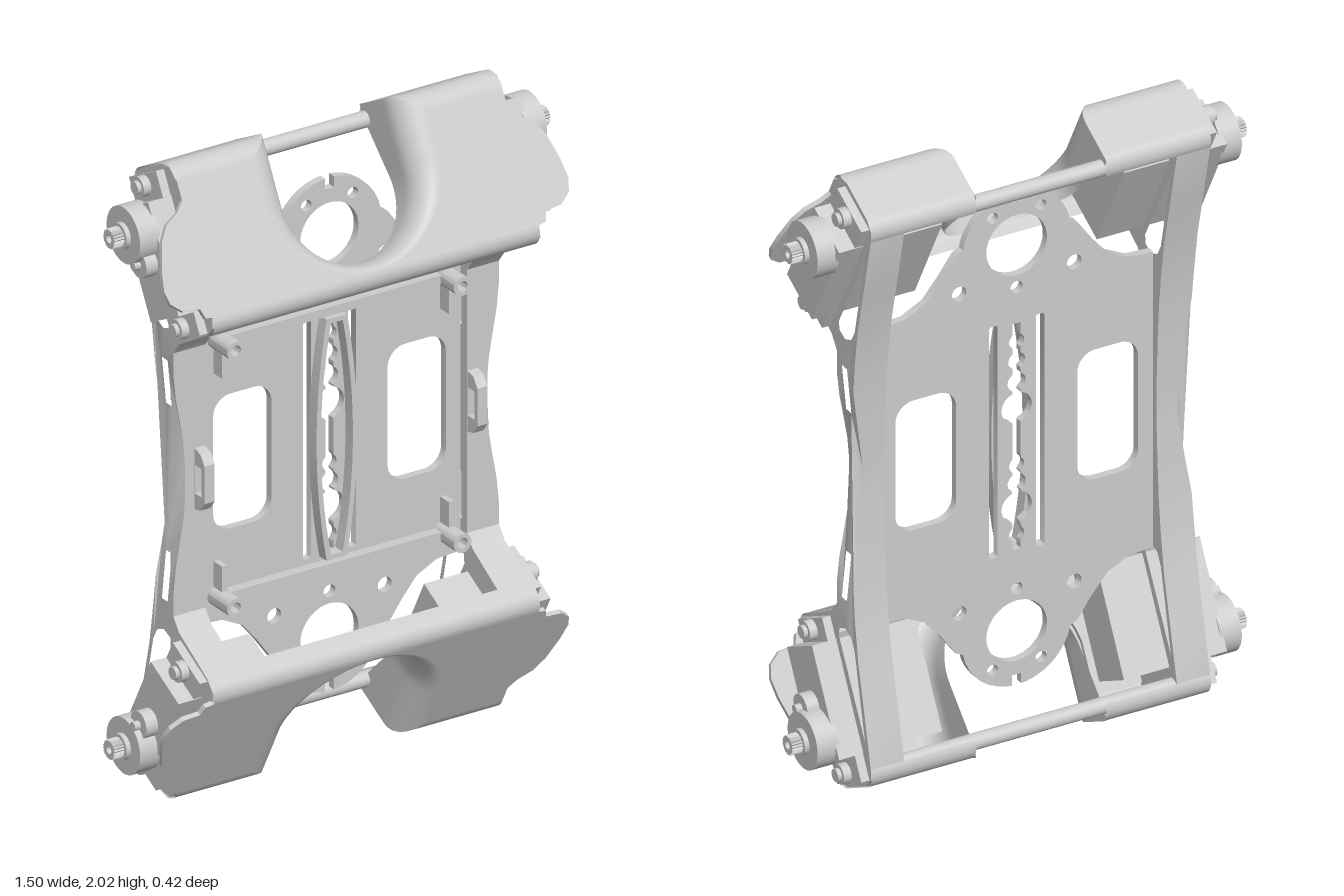
import * as THREE from 'three';
import { toCreasedNormals } from 'three/addons/utils/BufferGeometryUtils.js';

const mat = new THREE.MeshStandardMaterial({ color: 0xcccccc });
const sheetMat = new THREE.MeshStandardMaterial({ color: 0xcccccc, side: THREE.DoubleSide });
const V = (x, y) => new THREE.Vector2(x, y);
const TILT = THREE.MathUtils.degToRad(28), COS = Math.cos(TILT), SIN = Math.sin(TILT);
const POD = { y: 1.573, z: 0.233, len: 0.52, depth: 0.24, r: 0.06 };

function add(parent, name, geo, x = 0, y = 0, z = 0, material = mat) {
  const m = new THREE.Mesh(geo, material);
  m.name = name;
  m.position.set(x, y, z);
  parent.add(m);
  return m;
}
const extrude = (shape, depth, curveSegments = 20) =>
  toCreasedNormals(new THREE.ExtrudeGeometry(shape, { depth, bevelEnabled: false, curveSegments }), 0.6);
const cylX = (r, h, n = 32) => new THREE.CylinderGeometry(r, r, h, n).rotateZ(Math.PI / 2);
const circle = (x, y, r) => new THREE.Path().absarc(x, y, r, 0, Math.PI * 2, true);
function roundRect(x0, y0, x1, y1, r) {
  const p = new THREE.Path();
  p.absarc(x1 - r, y1 - r, r, 0, Math.PI / 2);
  p.absarc(x0 + r, y1 - r, r, Math.PI / 2, Math.PI);
  p.absarc(x0 + r, y0 + r, r, Math.PI, Math.PI * 1.5);
  p.absarc(x1 - r, y0 + r, r, Math.PI * 1.5, Math.PI * 2);
  p.closePath();
  return p;
}
// Open surface from a rule fn(u, v) -> [x, y, z]
function grid(fn, nu, nv) {
  const g = new THREE.PlaneGeometry(1, 1, nu, nv), p = g.attributes.position;
  for (let j = 0, k = 0; j <= nv; j++)
    for (let i = 0; i <= nu; i++, k++) p.setXYZ(k, ...fn(i / nu, j / nv));
  g.computeVertexNormals();
  return g;
}

// ---- main plate with tongues, windows and slots ----
function makePlate() {
  const quarter = [V(0.45, 1.49), V(0.37, 1.495), V(0.3, 1.53), V(0.25, 1.59), V(0.2, 1.66)];
  for (let a = 10; a <= 80; a += 10) {
    const t = THREE.MathUtils.degToRad(a);
    quarter.push(V(0.18 * Math.cos(t), 1.64 + 0.18 * Math.sin(t)));
  }
  quarter.push(V(0.015, 1.819), V(0.015, 1.785));
  const top = [...quarter, ...quarter.slice().reverse().map(p => V(-p.x, p.y))];
  const s = new THREE.Shape([...top, ...top.map(p => V(-p.x, 2 - p.y))]);
  for (const k of [1, -1]) {
    const Y = y => 1 + k * (y - 1);
    s.holes.push(circle(0, Y(1.64), 0.1), circle(0, Y(1.5), 0.02));
    s.holes.push(roundRect(k * 0.3 - 0.1, 0.79, k * 0.3 + 0.1, 1.22, 0.06));
    s.holes.push(roundRect(k * 0.077 - 0.014, 0.62, k * 0.077 + 0.014, 1.39, 0.008));
    for (const m of [1, -1]) s.holes.push(circle(m * 0.08, Y(1.75), 0.018), circle(m * 0.19, Y(1.53), 0.024));
  }
  // chain of round openings along the centre line
  const beads = [[1.32, 0.025], [1.255, 0.028], [1.185, 0.03], [1.1, 0.05], [0.91, 0.025], [0.85, 0.03], [0.77, 0.05], [0.68, 0.025]];
  const edge = [];
  for (let i = 0; i <= 120; i++) {
    const y = 0.63 + 0.75 * i / 120;
    let w = 0.013;
    for (const [c, r] of beads) if (Math.abs(y - c) < r) w = Math.max(w, Math.sqrt(r * r - (y - c) ** 2));
    edge.push(V(w, y));
  }
  s.holes.push(new THREE.Path([...edge, ...edge.slice().reverse().map(p => V(-p.x, p.y))]));
  return extrude(s, 0.025);
}

// Raised lens-shaped rim around the centre slot
function makeRim() {
  const side = (w, h) => Array.from({ length: 25 }, (_, i) => {
    const t = i / 12 - 1;
    return V(w - 0.035 * t * t, 1.005 + h * t);
  });
  const loop = pts => [...pts, ...pts.slice().reverse().map(p => V(-p.x, p.y))];
  const s = new THREE.Shape(loop(side(0.07, 0.385)));
  s.holes.push(new THREE.Path(loop(side(0.055, 0.37))));
  return extrude(s, 0.04);
}

// ---- side wall: waisted rail with a tilted pod end and a triangular opening ----
function makeWall() {
  const pod = (s, t) => V(POD.z - s * SIN - t * COS, POD.y + s * COS - t * SIN);
  const up = [V(0, 1.06), V(0, 1.12), V(0, 1.19), V(0, 1.27), V(0, 1.35), V(0, 1.42), V(0.03, 1.46),
    pod(0.004, 0.06), pod(0.02, 0.02), pod(0.06, 0.004), pod(0.46, 0.004), pod(0.5, 0.02), pod(0.516, 0.06),
    pod(0.516, 0.19), pod(0.5, 0.226), pod(0.47, 0.24), V(-0.16, 1.7), V(-0.125, 1.55), V(-0.105, 1.42),
    V(-0.094, 1.32), V(-0.087, 1.21), V(-0.083, 1.12), V(-0.08, 1.06)];
  const flip = pts => pts.slice().reverse().map(p => V(p.x, 2 - p.y));
  const toShape = pts => pts.map(p => V(-p.x, p.y));
  const s = new THREE.Shape(toShape([...up, ...flip(up)]));
  const tri = [V(-0.166, 1.8), V(-0.105, 1.53), V(-0.085, 1.495), V(-0.05, 1.48), V(-0.015, 1.495), V(-0.014, 1.525)];
  const slot = [V(-0.06, 1.235), V(-0.03, 1.235), V(-0.03, 1.385), V(-0.06, 1.385)];
  for (const h of [tri, slot]) s.holes.push(new THREE.Path(toShape(h)), new THREE.Path(toShape(flip(h))));
  const g = new THREE.ExtrudeGeometry(s, { depth: 0.11, bevelEnabled: false }).rotateY(Math.PI / 2).translate(0.45, 0, 0);
  const p = g.attributes.position;
  for (let i = 0; i < p.count; i++)
    if (p.getX(i) > 0.5) p.setX(i, 0.56 - 0.04 * (1 - THREE.MathUtils.smoothstep(Math.abs(p.getY(i) - 1), 0.05, 0.36)));
  return toCreasedNormals(g, 0.6);
}

// ---- pod cover, in pod space: y along the cover, -z into the depth ----
const fillet = (t, f = 0.08) => t >= f ? 0 : f - Math.sqrt(f * f - (f - t) ** 2);
const topEdge = t => t >= POD.r ? POD.len : POD.len - POD.r + Math.sqrt(POD.r ** 2 - (POD.r - t) ** 2);
// Point on the U-shaped notch at depth t, u running from the right top to the left top
function notch(u, t) {
  const R = 0.215, cy = 0.3, o = fillet(t);
  if (u < 0.2 || u > 0.8) {
    const k = u < 0.2 ? 1 - u / 0.2 : (u - 0.8) / 0.2;
    return V((u < 0.5 ? 1 : -1) * (R + o), cy + k * (topEdge(t) - cy));
  }
  const a = (u - 0.2) / 0.6 * Math.PI, r = R + o * (1 - 0.6 * Math.sin(a));
  return V(r * Math.cos(a), cy - r * Math.sin(a));
}
function makeCover(pod) {
  // front sheet with rounded wings
  const wing = [V(0.56, 0.05), V(0.585, 0.055), V(0.595, 0.085), V(0.65, 0.09), V(0.685, 0.12), V(0.695, 0.16),
    V(0.685, 0.22), V(0.66, 0.3), V(0.63, 0.345), V(0.585, 0.37), V(0.56, 0.4), V(0.56, 0.46)];
  const cut = Array.from({ length: 41 }, (_, i) => notch(i / 40, 0));
  const outline = [...wing, ...cut, ...wing.slice().reverse().map(p => V(-p.x, p.y))];
  add(pod, 'cover sheet', extrude(new THREE.Shape(outline), 0.015), 0, 0, -0.015);
  // wall curling back around the notch, deeper towards the top
  add(pod, 'notch wall', grid((u, v) => {
    const depth = 0.09 + 0.13 * THREE.MathUtils.clamp((notch(u, 0.1).y - 0.08) / 0.4, 0, 1);
    const t = depth * v * v, p = notch(u, t);
    return [p.x, p.y, -t];
  }, 60, 16), 0, 0, 0, sheetMat);
  // top wrap of each half
  for (const k of [1, -1])
    add(pod, 'cover top', grid((u, v) => {
      const a = Math.min(v / 0.4, 1) * Math.PI / 2, b = THREE.MathUtils.clamp((v - 0.6) / 0.4, 0, 1) * Math.PI / 2;
      const t = v < 0.6 ? POD.r * (1 - Math.cos(a)) + Math.max(0, (v - 0.4) / 0.2) * 0.13 : 0.19 + 0.05 * Math.sin(b);
      const s = v < 0.6 ? POD.len - POD.r + POD.r * Math.sin(a) : POD.len - 0.05 * (1 - Math.cos(b));
      const x0 = 0.215 + fillet(t);
      return [k * (x0 + u * (0.56 - x0)), s, -t];
    }, 6, 30), 0, 0, 0, sheetMat);
  // rolled lip along the inner edge
  add(pod, 'cover lip', grid((u, v) => {
    const a = Math.min(v / 0.7, 1) * Math.PI / 2, r = 0.05;
    return [(u - 0.5) * 1.12, r * (1 - Math.sin(a)), -r * (1 - Math.cos(a)) - Math.max(0, v - 0.7) * 0.1];
  }, 2, 16), 0, 0, 0, sheetMat);
}

function makeServo(pod, k) {
  const servo = new THREE.Group();
  servo.name = 'servo';
  pod.add(servo);
  const zc = -0.135;
  add(servo, 'servo body', new THREE.BoxGeometry(0.34, 0.34, 0.165), k * 0.47, 0.25, zc);
  add(servo, 'servo flange', new THREE.BoxGeometry(0.03, 0.49, 0.16), k * 0.572, 0.255, zc);
  add(servo, 'gear housing', cylX(0.088, 0.07), k * 0.665, 0.346, zc);
  add(servo, 'small gear housing', cylX(0.042, 0.05), k * 0.655, 0.252, zc + 0.005);
  add(servo, 'small gear pin', cylX(0.014, 0.02, 16), k * 0.69, 0.252, zc + 0.005);
  add(servo, 'shaft collar', cylX(0.04, 0.02), k * 0.705, 0.346, zc);
  // splined output shaft
  const spline = new THREE.Shape(Array.from({ length: 40 }, (_, i) => {
    const a = i / 40 * Math.PI * 2, r = i % 2 ? 0.026 : 0.031;
    return V(r * Math.cos(a), r * Math.sin(a));
  }));
  spline.holes.push(circle(0, 0, 0.013));
  add(servo, 'output shaft', extrude(spline, 0.05).rotateY(Math.PI / 2).translate(-0.025, 0, 0), k * 0.725, 0.346, zc);
  for (const s of [0.467, 0.042]) {
    add(servo, 'screw boss', cylX(0.031, 0.055), k * 0.585, s, zc);
    add(servo, 'screw head', cylX(0.02, 0.015, 20), k * 0.618, s, zc);
  }
}

export function createModel() {
  const model = new THREE.Group();
  model.name = 'frame';
  add(model, 'main plate', makePlate(), 0, 0, -0.06);
  add(model, 'centre rim', makeRim(), 0, 0, -0.036);

  // both ends are the same assembly, turned half a turn about the middle
  for (const turn of [0, Math.PI]) {
    const end = new THREE.Group(), half = new THREE.Group();
    end.name = 'frame end';
    end.position.y = 1;
    end.rotation.z = turn;
    half.position.y = -1;
    end.add(half);
    model.add(end);

    add(half, 'side wall', makeWall());
    // clip on the rail
    const clip = new THREE.Shape([V(0.01, 0.9), V(0.01, 1.1), V(-0.03, 1.09), V(-0.052, 1.06), V(-0.052, 0.94), V(-0.03, 0.91)]);
    clip.holes.push(new THREE.Path([V(-0.002, 0.955), V(-0.036, 0.955), V(-0.036, 1.045), V(-0.002, 1.045)]));
    add(half, 'side clip', extrude(clip, 0.035).rotateY(Math.PI / 2), 0.452);

    // brace with corner bosses on the plate
    add(half, 'brace bar', new THREE.BoxGeometry(0.78, 0.028, 0.035), 0, 1.41, -0.02);
    for (const k of [1, -1]) {
      const ring = new THREE.Shape().absarc(0, 0, 0.03, 0, Math.PI * 2);
      ring.holes.push(circle(0, 0, 0.017));
      add(half, 'boss', extrude(ring, 0.105), k * 0.39, 1.41, -0.036);
      add(half, 'boss rib', new THREE.BoxGeometry(0.018, 0.09, 0.05), k * 0.39, 1.345, -0.015);
      add(half, 'plate tab', new THREE.BoxGeometry(0.09, 0.14, 0.024), k * 0.485, 1.31, -0.0475);
    }

    // tilted pod
    const pod = new THREE.Group();
    pod.name = 'pod';
    pod.position.set(0, POD.y, POD.z);
    pod.rotation.x = -TILT;
    half.add(pod);
    makeCover(pod);
    for (const k of [1, -1]) makeServo(pod, k);
    add(pod, 'cross rod', cylX(0.025, 1.0), 0, 0.474, -0.21);
  }
  return model;
}
